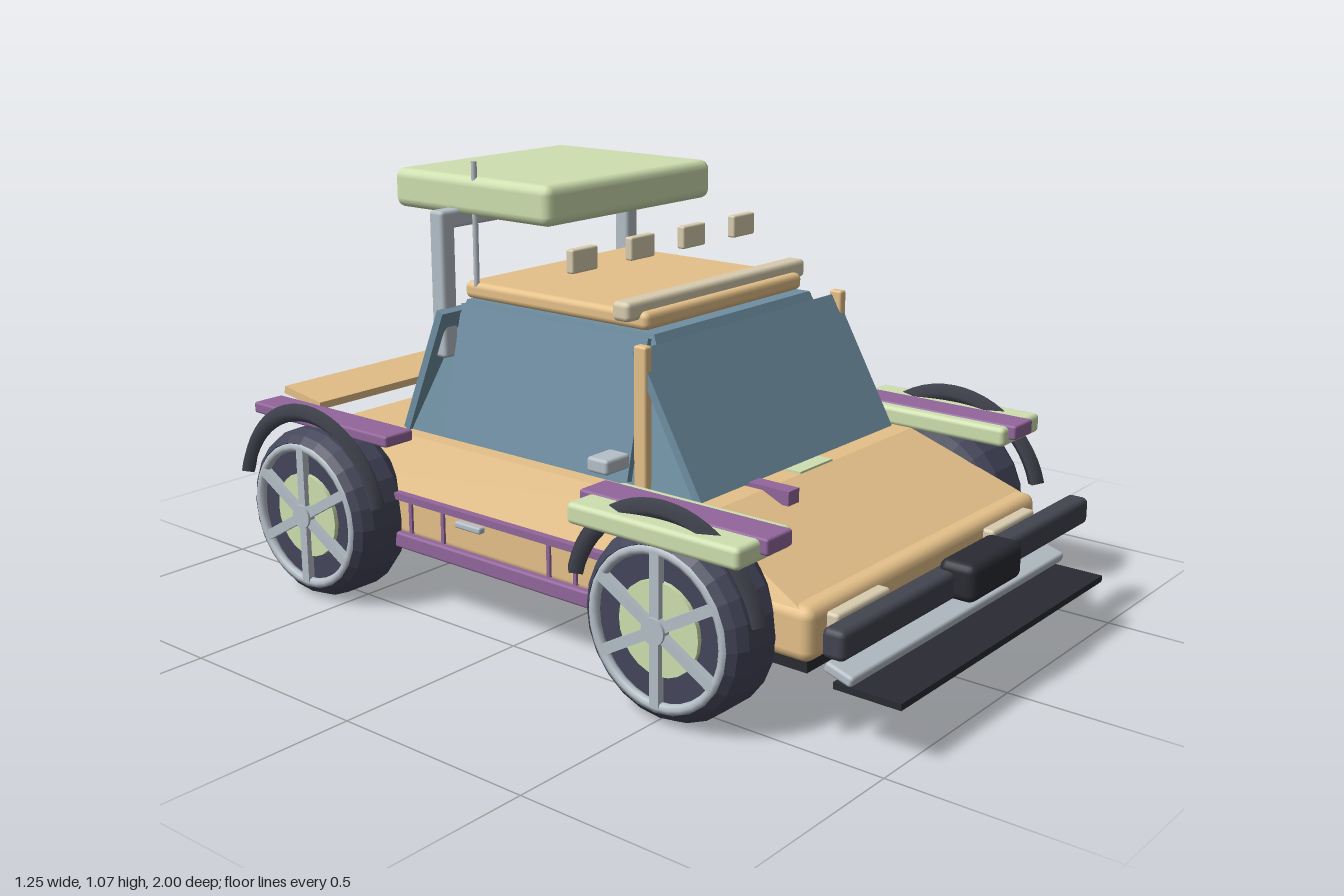
import * as THREE from 'three';
import { RoundedBoxGeometry } from 'three/addons/geometries/RoundedBoxGeometry.js';

const paint = (color, flatShading = false) => new THREE.MeshStandardMaterial({ color, flatShading });
const gold = paint(0xe6c189), green = paint(0xcfe0b0), purple = paint(0x92669b), grey = paint(0xb6bfc8);
const beige = paint(0xd9cdb0), red = paint(0xc5404c), glass = paint(0x6f8fa3), dark = paint(0x42444f);
const black = paint(0x2a2b33), rubber = paint(0x44465a, true);

export function createModel() {
  const model = new THREE.Group();

  const add = (name, geometry, material, x = 0, y = 0, z = 0, parent = model) => {
    const mesh = new THREE.Mesh(geometry, material);
    mesh.name = name;
    mesh.position.set(x, y, z);
    parent.add(mesh);
    return mesh;
  };
  // Box given by its extents on each axis; r rounds the edges
  const block = (name, material, [x0, x1], [y0, y1], [z0, z1], r = 0) => {
    const size = [x1 - x0, y1 - y0, z1 - z0];
    const geometry = r ? new RoundedBoxGeometry(...size, 2, r) : new THREE.BoxGeometry(...size);
    return add(name, geometry, material, (x0 + x1) / 2, (y0 + y1) / 2, (z0 + z1) / 2);
  };
  // Same box on both sides of the model, x extents given for the left
  const pair = (name, material, [x0, x1], y, z, r = 0) => [
    block(name + 'Left', material, [x0, x1], y, z, r),
    block(name + 'Right', material, [-x1, -x0], y, z, r),
  ];
  // Tapered block between a lower and an upper rectangle [halfWidth, zBack, zFront]
  const frustum = (name, material, y0, y1, low, high) => {
    const geometry = new THREE.BoxGeometry(2, 1, 1);
    const p = geometry.attributes.position;
    for (let i = 0; i < p.count; i++) {
      const top = p.getY(i) > 0, r = top ? high : low;
      p.setXYZ(i, p.getX(i) * r[0], top ? y1 : y0, p.getZ(i) > 0 ? r[2] : r[1]);
    }
    geometry.computeVertexNormals();
    return add(name, geometry, material);
  };

  // Body
  block('lowerBody', gold, [-0.48, 0.48], [0.17, 0.29], [-0.905, 0.805], 0.025);
  frustum('upperBody', gold, 0.275, 0.408, [0.475, -0.895, 0.795], [0.415, -0.67, 0.49]);
  block('floorPan', black, [-0.45, 0.45], [0.14, 0.2], [-0.88, 0.78]);
  block('centreStripe', green, [-0.065, 0.065], [0.4, 0.413], [-0.67, 0.49]);
  block('hoodVent', purple, [-0.21, -0.17], [0.385, 0.418], [0.44, 0.56]);

  // Cabin with overlapping window panels
  frustum('cabin', glass, 0.4, 0.74, [0.375, -0.46, 0.43], [0.3, -0.325, 0.255]);
  const panel = (name, width, zLow, zHigh, yTop) => {
    const dz = zHigh - zLow, dy = yTop - 0.41;
    const m = add(name, new THREE.BoxGeometry(width, Math.hypot(dz, dy), 0.02), glass, 0, (yTop + 0.41) / 2, (zLow + zHigh) / 2);
    m.rotation.x = Math.atan2(dz, dy);
  };
  panel('windshield', 0.765, 0.445, 0.27, 0.72);
  panel('rearWindow', 0.765, -0.465, -0.335, 0.72);
  for (const s of [1, -1]) {
    const m = add('sideWindow', new THREE.BoxGeometry(0.016, 0.32, 0.58), glass, s * 0.343, 0.575, -0.04);
    m.rotation.z = s * Math.atan2(0.075, 0.32);
  }
  block('roof', gold, [-0.3, 0.3], [0.742, 0.784], [-0.335, 0.235], 0.015);
  pair('pillar', gold, [0.365, 0.39], [0.4, 0.735], [0.27, 0.305], 0.006);
  pair('mirror', grey, [0.375, 0.455], [0.45, 0.485], [0.19, 0.25], 0.008);

  // Roof equipment
  block('lightBar', beige, [-0.34, 0.34], [0.765, 0.81], [0.165, 0.215], 0.012);
  for (const x of [-0.3, -0.097, 0.097, 0.298])
    block('spotLight', beige, [x - 0.043, x + 0.043], [0.855, 0.91], [0.035, 0.057], 0.005);
  pair('hoopPost', grey, [0.315, 0.36], [0.6, 0.95], [-0.387, -0.342], 0.01);
  block('hoopBar', grey, [-0.36, 0.36], [0.912, 0.957], [-0.387, -0.342], 0.01);
  block('roofPod', green, [-0.305, 0.305], [0.94, 1.037], [-0.567, -0.052], 0.024);
  add('antenna', new THREE.CylinderGeometry(0.007, 0.007, 0.3, 10), grey, -0.293, 0.923, -0.298);

  // Front end
  block('bumper', dark, [-0.53, 0.53], [0.225, 0.29], [0.863, 0.917], 0.014);
  block('winch', black, [-0.11, 0.11], [0.225, 0.312], [0.875, 0.965], 0.02);
  block('frontPlate', dark, [-0.138, 0.138], [0.19, 0.225], [0.815, 0.838], 0.005);
  pair('headlight', beige, [0.22, 0.42], [0.21, 0.27], [0.79, 0.832], 0.008);
  const skid = block('skidBar', grey, [-0.46, 0.46], [0.15, 0.175], [0.825, 0.895], 0.008);
  skid.rotation.x = 0.3;
  block('splitter', black, [-0.445, 0.445], [0.122, 0.137], [0.84, 1]);

  // Rear end
  const spoiler = block('spoiler', gold, [-0.405, 0.405], [0.417, 0.437], [-0.905, -0.765]);
  spoiler.rotation.x = 0.15;
  pair('tailLight', red, [0.22, 0.43], [0.245, 0.278], [-0.93, -0.895], 0.008);
  block('rearPlate', grey, [-0.11, 0.11], [0.2, 0.25], [-0.922, -0.895], 0.005);
  for (let i = -2; i <= 2; i++)
    block('diffuserFin', black, [i * 0.11 - 0.008, i * 0.11 + 0.008], [0.125, 0.185], [-1, -0.84]);
  add('exhaust', new THREE.CylinderGeometry(0.02, 0.02, 0.14, 14), grey, -0.2, 0.165, -0.91).rotation.x = Math.PI / 2;

  // Side trim
  pair('sill', purple, [0.44, 0.495], [0.148, 0.187], [-0.4, 0.32], 0.006);
  pair('beltTrim', purple, [0.47, 0.49], [0.268, 0.285], [-0.4, 0.32]);
  for (const z of [0.18, 0.1, -0.24, -0.35]) pair('doorSeam', purple, [0.47, 0.486], [0.19, 0.27], [z - 0.005, z + 0.005]);
  pair('doorHandle', grey, [0.475, 0.497], [0.245, 0.261], [-0.188, -0.105], 0.005);

  // Wheels, face pointing along +x
  const profile = [[0, -0.087], [0.165, -0.087], [0.195, -0.075], [0.212, -0.045], [0.212, 0.045],
    [0.2, 0.07], [0.183, 0.085], [0.17, 0.065], [0, 0.065]].map(([r, h]) => new THREE.Vector2(r, h));
  const tyre = new THREE.LatheGeometry(profile, 24).rotateZ(-Math.PI / 2);
  const disc = new THREE.CylinderGeometry(0.105, 0.105, 0.02, 24).rotateZ(-Math.PI / 2);
  const ring = new THREE.TorusGeometry(0.172, 0.012, 8, 32).rotateY(Math.PI / 2);
  const cap = new THREE.CylinderGeometry(0.03, 0.03, 0.03, 16).rotateZ(-Math.PI / 2);
  const spoke = new THREE.BoxGeometry(0.018, 0.155, 0.024).translate(0, 0.093, 0);
  const arch = new THREE.TorusGeometry(0.25, 0.022, 4, 24, Math.PI * 0.84).rotateZ(Math.PI * 0.08).rotateY(Math.PI / 2);
  for (const [end, z] of [['front', 0.51], ['rear', -0.6]])
    for (const s of [1, -1]) {
      const wheel = new THREE.Group();
      wheel.name = end + 'Wheel' + (s > 0 ? 'Left' : 'Right');
      wheel.position.set(s * 0.522, 0.212, z);
      wheel.rotation.y = s > 0 ? 0 : Math.PI;
      add('tyre', tyre, rubber, 0, 0, 0, wheel);
      add('hubDisc', disc, green, 0.066, 0, 0, wheel);
      add('rim', ring, grey, 0.077, 0, 0, wheel);
      add('hubCap', cap, grey, 0.08, 0, 0, wheel);
      for (let i = 0; i < 6; i++) add('spoke', spoke, grey, 0.08, 0, 0, wheel).rotation.x = (i * Math.PI) / 3;
      model.add(wheel);
      add(end + 'Arch', arch, dark, s * 0.58, 0.215, z);
    }

  // Fender plates above the wheels
  pair('frontFender', green, [0.437, 0.623], [0.396, 0.444], [0.28, 0.73], 0.012);
  pair('frontFenderTrim', purple, [0.463, 0.55], [0.412, 0.448], [0.253, 0.748], 0.006);
  pair('rearFenderTrim', purple, [0.463, 0.55], [0.418, 0.446], [-0.845, -0.355], 0.006);

  return model;
}
